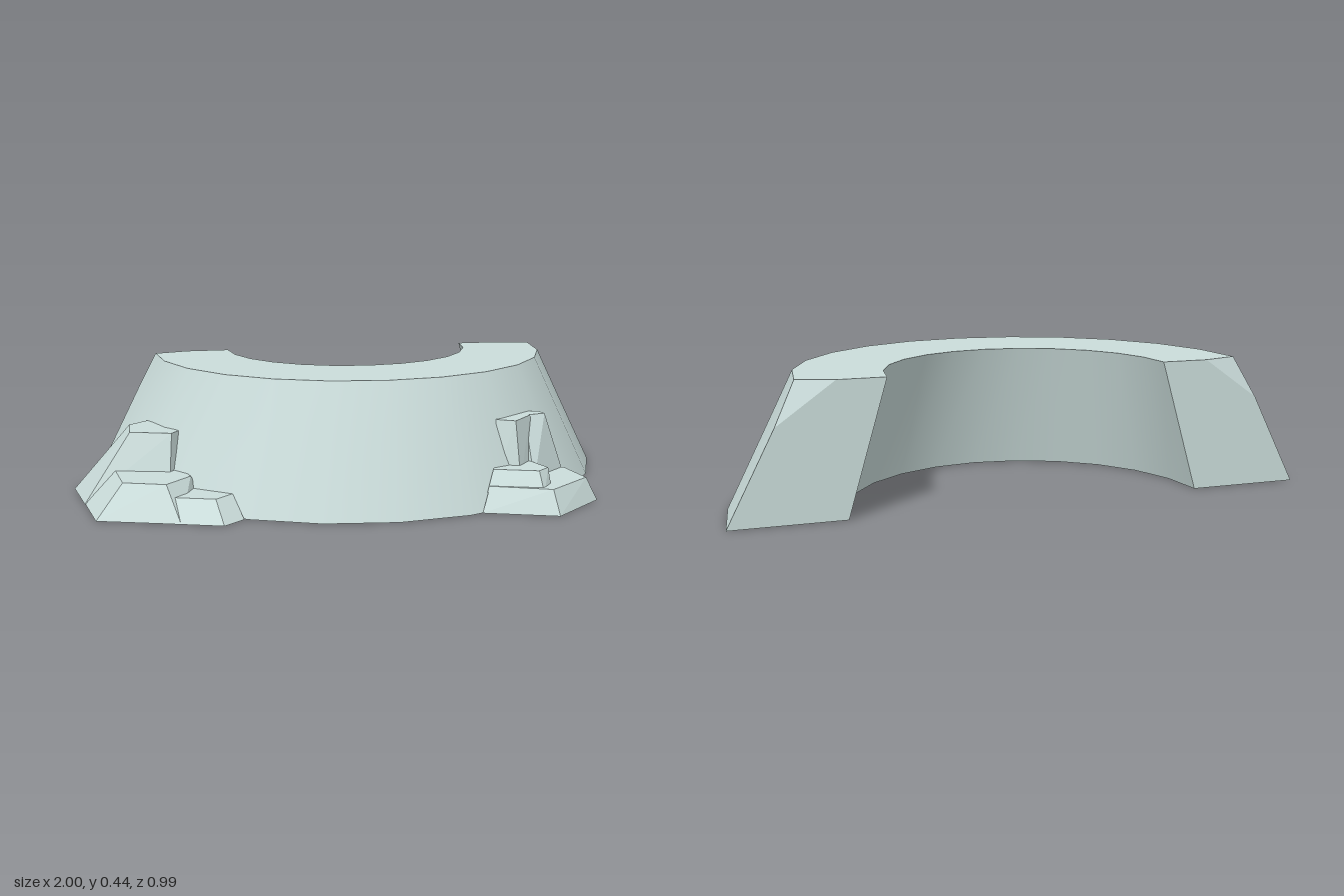
import * as THREE from 'three';
import { toCreasedNormals } from 'three/addons/utils/BufferGeometryUtils.js';
import { ConvexGeometry } from 'three/addons/geometries/ConvexGeometry.js';

const HEIGHT = 0.435, CENTER_X = 0.045, BACK = -0.5;

// Half ring with sloping walls, swept from cross-sections around its centre
function wallGeometry() {
  const steps = 12;
  // radius, height, centre z: inner base, outer base, outer shoulder, outer rim, rim middle, inner rim
  const profile = [
    [0.586, 0, BACK], [0.955, 0, BACK], [0.803, 0.3, -0.475],
    [0.735, HEIGHT, -0.463], [0.615, HEIGHT, -0.475], [0.46, HEIGHT, BACK],
  ];
  const n = profile.length, pos = [], index = [];
  for (let i = 0; i <= steps; i++) {
    const t = (i / steps) * Math.PI, end = i === 0 || i === steps;
    profile.forEach(([r, y, cz], k) => {
      const z = end && k !== 3 ? BACK : cz + r * Math.sin(t);
      pos.push(CENTER_X + r * Math.cos(t), y, z);
    });
  }
  for (let i = 0; i < steps; i++) {
    for (let k = 0; k < n; k++) {
      const a = i * n + k, b = i * n + (k + 1) % n;
      index.push(a, b, a + n, b, b + n, a + n);
    }
  }
  // End faces, each with a small cut corner at the outer rim
  const e = steps * n;
  for (const [a, b, c] of [[0, 1, 2], [0, 2, 4], [0, 4, 5], [2, 3, 4]]) {
    index.push(a, c, b, e + a, e + b, e + c);
  }
  const g = new THREE.BufferGeometry();
  g.setAttribute('position', new THREE.Float32BufferAttribute(pos, 3));
  g.setIndex(index);
  return toCreasedNormals(g, 0.29);
}

export function createModel() {
  const group = new THREE.Group();
  const material = new THREE.MeshStandardMaterial({ color: 0xcadcda });

  const wall = new THREE.Mesh(wallGeometry(), material);
  wall.name = 'curvedWall';
  group.add(wall);

  // Faceted rock: each layer is a height followed by its x, z corners
  const rock = (parent, name, layers) => {
    const points = layers.flatMap(([y, ...corners]) =>
      corners.map(([x, z]) => new THREE.Vector3(x, y, z)));
    const mesh = new THREE.Mesh(new ConvexGeometry(points), material);
    mesh.name = name;
    parent.add(mesh);
  };

  // Small outcrop on the left front
  const left = new THREE.Group();
  left.name = 'leftOutcrop';
  rock(left, 'baseRock', [
    [0, [0.34, 0.405], [0.58, 0.49], [0.775, 0.325], [0.74, 0.15], [0.45, 0.1]],
    [0.08, [0.375, 0.365], [0.57, 0.445], [0.735, 0.315], [0.71, 0.165], [0.5, 0.1]],
  ]);
  rock(left, 'stepRock', [
    [0.06, [0.365, 0.37], [0.545, 0.43], [0.59, 0.375], [0.55, 0.2], [0.45, 0.2]],
    [0.13, [0.395, 0.335], [0.54, 0.385], [0.585, 0.345], [0.54, 0.2], [0.46, 0.2]],
  ]);
  rock(left, 'pillarRock', [
    [0.08, [0.42, 0.28], [0.5, 0.315], [0.6, 0.2], [0.5, 0.12]],
    [0.28, [0.43, 0.24], [0.49, 0.275], [0.57, 0.19], [0.5, 0.12]],
  ]);
  rock(left, 'slabRock', [
    [0.07, [0.56, 0.285], [0.705, 0.165], [0.6, 0.1], [0.5, 0.12]],
    [0.28, [0.55, 0.19], [0.63, 0.17], [0.62, 0.13], [0.5, 0.1]],
  ]);
  group.add(left);

  // Larger stepped outcrop on the right side
  const right = new THREE.Group();
  right.name = 'rightOutcrop';
  rock(right, 'upperRock', [
    [0, [-1, -0.175], [-0.88, -0.265], [-0.96, 0.04], [-0.6, 0]],
    [0.11, [-0.855, 0.01], [-0.67, 0.08]],
    [0.235, [-0.8, -0.13], [-0.735, -0.19], [-0.8, -0.005], [-0.66, 0.04], [-0.635, 0]],
  ]);
  rock(right, 'middleRock', [
    [0, [-0.965, 0], [-0.92, 0.25], [-0.65, 0.338], [-0.59, 0.2], [-0.55, 0.1], [-0.65, -0.05]],
    [0.11, [-0.86, -0.02], [-0.83, 0.195], [-0.69, 0.245], [-0.605, 0.15], [-0.65, -0.02]],
  ]);
  rock(right, 'lowerRock', [
    [0, [-0.72, 0.315], [-0.515, 0.385], [-0.445, 0.325], [-0.5, 0.1], [-0.65, 0.1]],
    [0.07, [-0.71, 0.25], [-0.535, 0.31], [-0.475, 0.255], [-0.55, 0.12], [-0.65, 0.12]],
  ]);
  group.add(right);
  return group;
}
